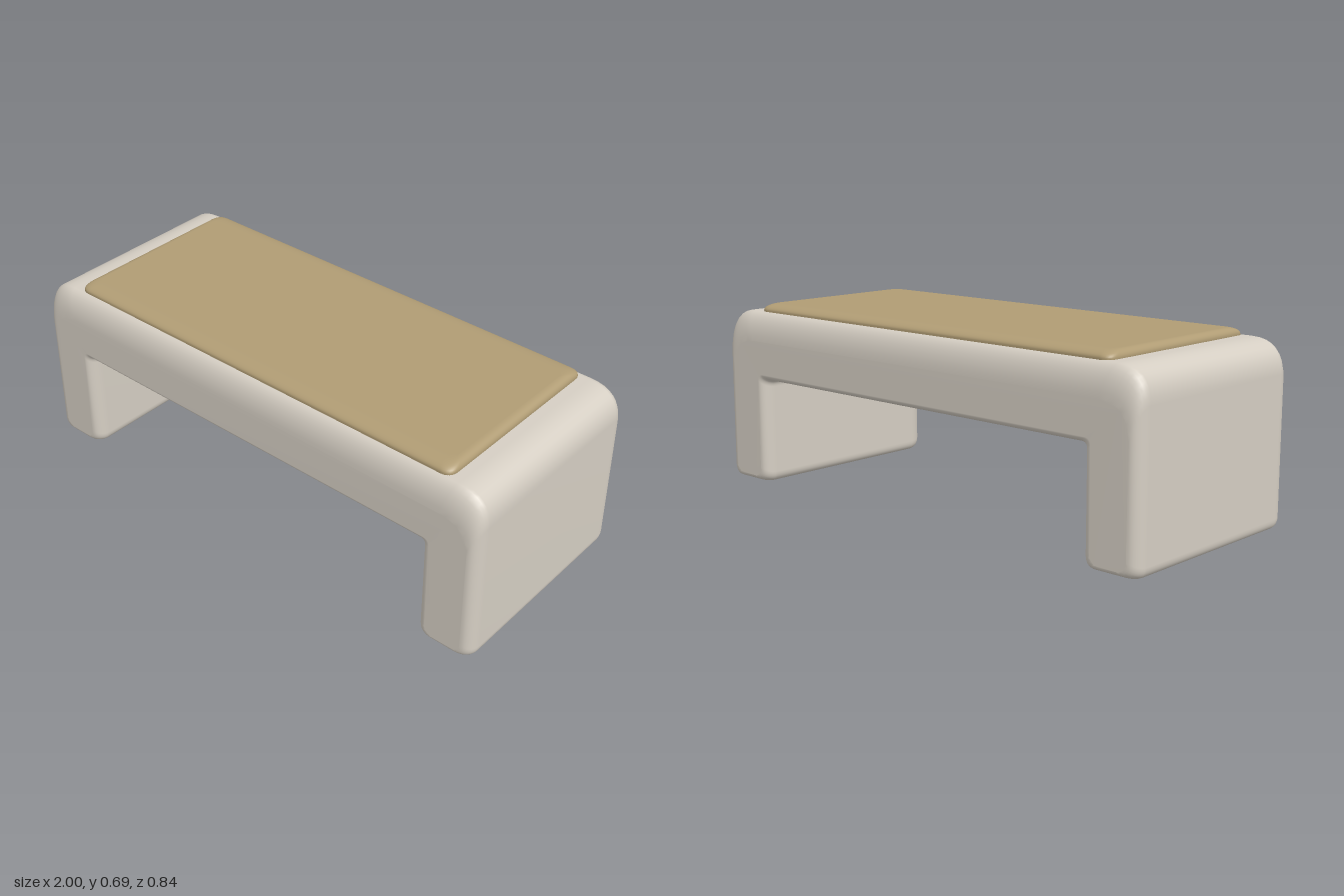
import * as THREE from 'three';

// Closed counter-clockwise outline from corners [x, y, rounding].
function roundedOutline(corners) {
  const n = corners.length, pts = [];
  corners.forEach(([x, y, r], i) => {
    const c = new THREE.Vector2(x, y);
    const toward = ([px, py]) =>
      c.clone().add(new THREE.Vector2(px - x, py - y).setLength(r));
    const curve = new THREE.QuadraticBezierCurve(
      toward(corners[(i + n - 1) % n]), c, toward(corners[(i + 1) % n]));
    pts.push(...curve.getPoints(8));
  });
  return pts;
}

// Smooth solid through stacked outlines; rings are [inset 0..1, height], rising.
function loft(outline, rings) {
  const loops = rings.map(([k]) => outline(k));
  const n = loops[0].length, last = (rings.length - 1) * n;
  const pos = [], index = [];
  loops.forEach((loop, i) => loop.forEach((p) => pos.push(p.x, p.y, rings[i][1])));
  for (let i = 0; i < rings.length - 1; i++) {
    for (let j = 0; j < n; j++) {
      const a = i * n + j, b = i * n + (j + 1) % n;
      index.push(a, b, b + n, a, b + n, a + n);
    }
  }
  THREE.ShapeUtils.triangulateShape(loops[0].slice(), []).forEach(([a, b, c]) => index.push(a, c, b));
  THREE.ShapeUtils.triangulateShape(loops[loops.length - 1].slice(), [])
    .forEach(([a, b, c]) => index.push(last + a, last + b, last + c));
  const g = new THREE.BufferGeometry();
  g.setAttribute('position', new THREE.Float32BufferAttribute(pos, 3));
  g.setIndex(index);
  g.computeVertexNormals();
  return g;
}

// Quarter-round rings ending at height h, over depth d.
function roundedEnd(h, d, steps = 8) {
  return Array.from({ length: steps + 1 }, (_, i) => {
    const a = (1 - i / steps) * Math.PI / 2;
    return [1 - Math.sin(a), h - d * (1 - Math.cos(a))];
  });
}

// Front outline of the bench; the top edge rolls over more than the others.
function benchOutline(k) {
  const out = 1 - 0.04 * k, inn = 0.78 + 0.035 * k;
  const top = 0.667 - 0.11 * k, under = 0.405 + 0.025 * k, foot = 0.003 + 0.022 * k;
  const half = [[inn, foot, 0.04], [out, foot, 0.04], [out, top, 0.12]];
  const rightSide = [[inn, under, 0.025], ...half];
  const leftSide = rightSide.map(([x, y, r]) => [-x, y, r]).reverse();
  return roundedOutline([...rightSide, ...leftSide]);
}

function padOutline(k) {
  const x = 0.848 - 0.03 * k, z = 0.37 - 0.06 * k, r = 0.04;
  return roundedOutline([[x, -z, r], [x, z, r], [-x, z, r], [-x, -z, r]]);
}

export function createModel() {
  const group = new THREE.Group();
  group.name = 'bench';

  // One-piece frame: seat and two slab legs
  const front = roundedEnd(0.418, 0.055);
  const back = front.map(([k, z]) => [k, -z]).reverse();
  const frame = new THREE.Mesh(loft(benchOutline, [...back, ...front]),
    new THREE.MeshStandardMaterial({ color: 0xd5cec3 }));
  frame.name = 'frame';

  // Thin seat pad on top
  const padGeometry = loft(padOutline, [[0, 0.655], ...roundedEnd(0.695, 0.024)]);
  padGeometry.rotateX(-Math.PI / 2);
  const pad = new THREE.Mesh(padGeometry,
    new THREE.MeshStandardMaterial({ color: 0xb09c74 }));
  pad.name = 'seatPad';

  group.add(frame, pad);
  return group;
}
